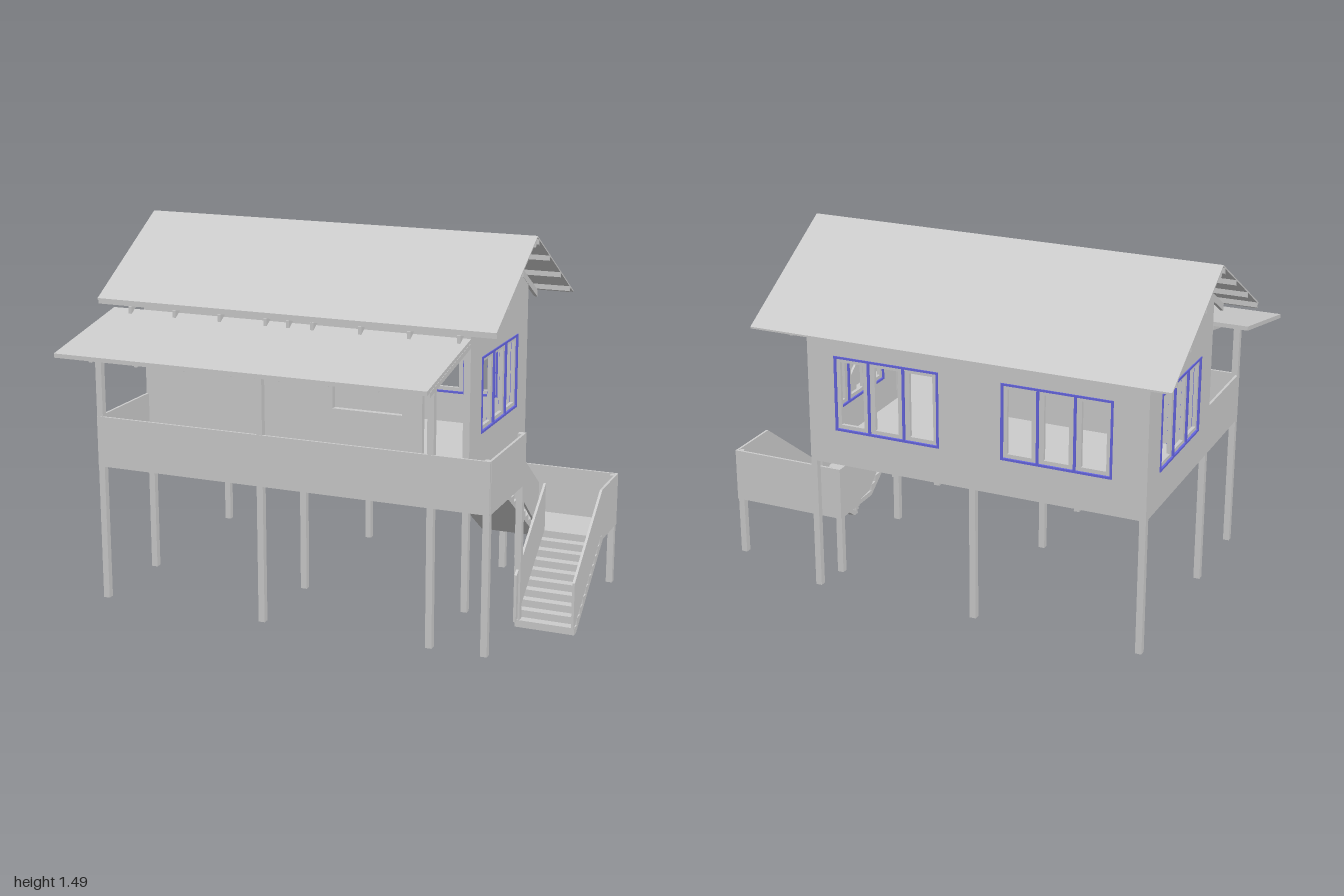
import * as THREE from 'three';

const grey = new THREE.MeshStandardMaterial({ color: 0xcccccc, side: THREE.DoubleSide });
const blue = new THREE.MeshStandardMaterial({ color: 0x6666e0 });

export function createModel() {
  const root = new THREE.Group();

  const add = (name, geo, parent = root, mat = grey) => {
    const m = new THREE.Mesh(geo, mat);
    m.name = name;
    parent.add(m);
    return m;
  };
  // Box given by its limits on each axis
  const box = (name, x0, x1, y0, y1, z0, z1, parent, mat) =>
    add(name, new THREE.BoxGeometry(x1 - x0, y1 - y0, z1 - z0)
      .translate((x0 + x1) / 2, (y0 + y1) / 2, (z0 + z1) / 2), parent, mat);
  const outline = (pts) => new THREE.Shape(pts.map((p) => new THREE.Vector2(p[0], p[1])));
  const rect = (u0, u1, v0, v1) => [[u0, v0], [u1, v0], [u1, v1], [u0, v1]];
  const slab = (pts, t, holes = []) => {
    const s = outline(pts);
    holes.forEach((h) => s.holes.push(outline(h)));
    return new THREE.ExtrudeGeometry(s, { depth: t, bevelEnabled: false });
  };
  // Profile in (z, y), extruded from x0 to x1
  const side = (name, pts, x0, x1, holes, parent) =>
    add(name, slab(pts, x1 - x0, holes).rotateY(-Math.PI / 2).translate(x1, 0, 0), parent);

  const XL = -0.86, XR = 0.556, ZB = -0.51, ZF = 0.21, RZ = -0.15;
  const FLOOR = 0.58, T = 0.025, P = 0.026;
  const WY0 = 0.727, WY1 = 1.038, WW = 0.45;

  // Floors
  box('houseFloor', XL, XR, FLOOR, 0.6, ZB, ZF);
  box('deckFloor', XL, 0.775, FLOOR, 0.6, ZF, 0.61);
  box('deckFloorEnd', XR, 0.775, FLOOR, 0.6, 0.185, ZF);

  // Walls
  const hole = (c) => rect(c - WW / 2, c + WW / 2, WY0, WY1);
  const gable = [[ZB, 0.58], [ZF, 0.58], [ZF, 1.218], [RZ, 1.43], [ZB, 1.218]];
  side('rightWall', gable, XL, XL + T, [hole(RZ)]);
  side('leftWall', gable, XR - T, XR, [hole(RZ)]);
  const long = rect(XL + T, XR - T, 0.58, 1.218);
  add('backWall', slab(long, T, [hole(-0.497), hole(0.213)]).translate(0, 0, ZB));
  add('frontWall', slab(long, T, [rect(-0.02, 0.275, 0.805, 1.05), rect(0.36, 0.528, 0.6, 1.05)])
    .translate(0, 0, ZF - T));

  // Triple windows, built facing +z about their own centre
  const windowUnit = (x, z, turn) => {
    const g = new THREE.Group();
    g.name = 'window';
    const b = 0.009, h = WW / 2, w = WW / 3;
    for (const y of [WY0, WY1 - b]) box('windowFrameRail', -h, h, y, y + b, -T, 0.004, g, blue);
    for (let i = 0; i < 4; i++) {
      const u = Math.min(Math.max(-h + i * w - b / 2, -h), h - b);
      box('windowFramePost', u, u + b, WY0 + b, WY1 - b, -T, 0.004, g, blue);
    }
    for (let i = 0; i < 3; i++) {
      const u = -h + i * w;
      add('windowSash', slab(rect(u + 0.004, u + w - 0.004, WY0 + 0.005, WY1 - 0.005), 0.014,
        [rect(u + 0.025, u + w - 0.025, 0.752, 1.014)]).translate(0, 0, -0.018), g);
    }
    g.position.set(x, 0, z);
    g.rotation.y = turn;
    root.add(g);
  };
  windowUnit(XR, RZ, Math.PI / 2);
  windowUnit(XL, RZ, -Math.PI / 2);
  windowUnit(-0.497, ZB, Math.PI);
  windowUnit(0.213, ZB, Math.PI);

  // Main roof: rafters, battens and thin sheets on both slopes
  const slope = 0.588;
  const rafterX = [-0.155];
  for (let i = 0; i < 8; i++) rafterX.push(XL + 0.006 + i * (XR - XL - 0.012) / 7);
  for (const s of [1, -1]) {
    const at = (d, y) => [RZ + s * d, y - slope * d];
    for (const x of rafterX) {
      side('rafter', [at(0, 1.43), at(0.485, 1.43), at(0.485, 1.46), at(0, 1.46)], x - 0.007, x + 0.007);
    }
    for (const d of [0.02, 0.172, 0.335, 0.478]) {
      side('roofBatten', [at(d - 0.005, 1.459), at(d + 0.005, 1.459), at(d + 0.005, 1.482), at(d - 0.005, 1.482)], -1, 0.7);
    }
    side('roofSheet', [at(0, 1.48), at(0.533 - (s > 0 ? 0.043 : 0), 1.48), at(0.533 - (s > 0 ? 0.043 : 0), 1.487), at(0, 1.487)], -1, 0.7);
  }

  // Veranda roof
  side('verandaRoof', [[ZF, 1.12], [0.684, 1.026], [0.684, 1.043], [ZF, 1.137]], -1, XR);
  for (const x of rafterX) {
    side('verandaRafter', [[ZF, 1.102], [0.655, 1.013], [0.655, 1.033], [ZF, 1.122]], x - 0.007, x + 0.007);
  }

  // Posts
  const post = (name, x, z, top) => box(name, x - P / 2, x + P / 2, 0.025, top, z - P / 2, z + P / 2);
  for (const x of [XL + P / 2, -0.152, XR - P / 2]) {
    post('verandaPost', x, 0.597, 1.025);
    post('housePost', x, 0.197, FLOOR);
    post('housePost', x, ZB + P / 2, FLOOR);
  }
  post('deckPost', 0.762, 0.597, 0.785);
  post('deckPost', 0.762, 0.198, 0.785);
  post('landingPost', 0.985, -0.359, 0.487);
  post('landingPost', 0.518, -0.359, 0.487);

  // Solid deck railings
  box('frontRailing', XL, 0.775, FLOOR, 0.785, 0.602, 0.612);
  box('rightRailing', XL, XL + 0.01, FLOOR, 0.785, ZF, 0.602);
  box('leftRailing', 0.767, 0.777, FLOOR, 0.785, 0.185, 0.602);

  // Stairs: a landing with a flight up to the deck and a flight down to the ground
  const LY = 0.29, G = 0.01;
  box('landing', 0.505, 0.998, 0.27, LY, -0.372, -0.135);
  const flight = (name, z0, y0, run, rise, under, x0, x1) => {
    const pts = [];
    for (let k = 0; k < 10; k++) {
      const z = z0 + run * k, y = y0 + rise * k;
      pts.push([z, y], [z, y + rise]);
    }
    pts.push([z0 + run * 9 + Math.sign(run) * 0.033, y0 + rise * 10], ...under);
    side(name, pts, x0, x1);
  };
  flight('lowerFlight', 0.215, 0, -0.0385, 0.029, [[-0.175, 0.27], [0.185, 0]], 0.757, 0.998);
  flight('upperFlight', -0.1115, LY, 0.0385, 0.027, [[0.268, 0.535], [-0.112, 0.27], [-0.14, 0.27], [-0.14, LY]], 0.505, 0.738);

  // Solid stair guards
  side('outerGuard', [[0.233, 0.025], [0.233, 0.22], [-0.13, 0.49], [-0.372, 0.49], [-0.372, 0.27], [-0.13, 0.295]], 0.99, 1);
  side('lowerInnerGuard', [[0.233, 0.025], [0.233, 0.22], [-0.13, 0.49], [-0.13, 0.295]], 0.757, 0.757 + G);
  side('upperInnerGuard', [[-0.13, 0.3], [-0.13, 0.49], [0.185, 0.725], [0.185, 0.565]], 0.738 - G, 0.738);
  side('houseSideGuard', [[-0.372, 0.27], [-0.372, 0.49], [-0.13, 0.49], [-0.01, 0.578], [0.185, 0.578], [0.185, 0.565], [-0.13, 0.3]], 0.505, 0.505 + G);
  box('landingBackGuard', 0.505, 1, 0.27, 0.49, -0.376, -0.366);

  return root;
}
